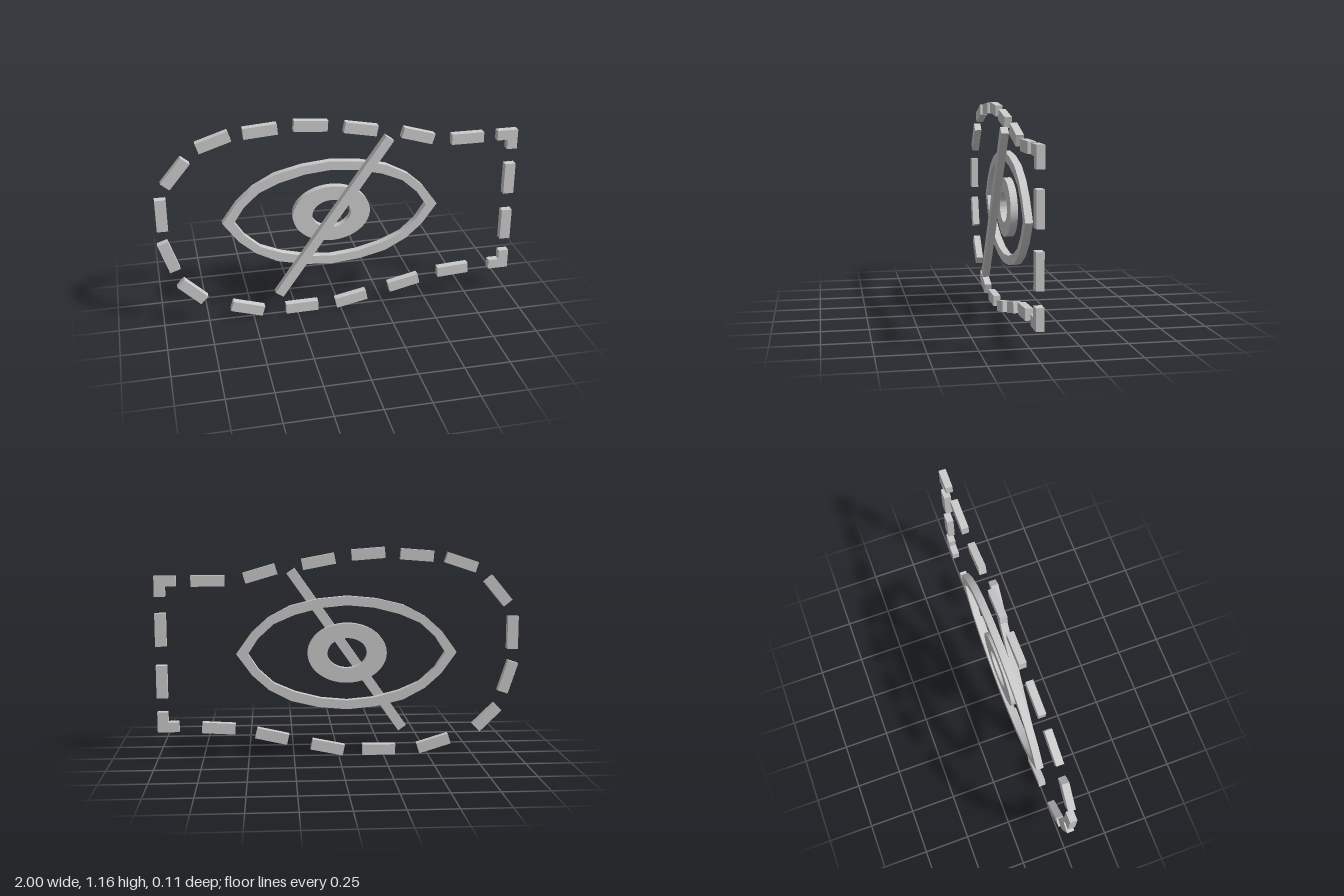
import * as THREE from 'three';
import { toCreasedNormals } from 'three/addons/utils/BufferGeometryUtils.js';

const DEPTH = 0.04;
const CENTRE = [-0.043, 0.586];

export function createModel() {
  const root = new THREE.Group();
  const material = new THREE.MeshStandardMaterial({ color: 0xcccccc });

  const add = (name, geometry, x, y, z) => {
    const mesh = new THREE.Mesh(geometry, material);
    mesh.name = name;
    mesh.position.set(x, y, z);
    root.add(mesh);
    return mesh;
  };
  // Smooth around gentle curves, sharp at rims and corners
  const extrude = (shape) => toCreasedNormals(
    new THREE.ExtrudeGeometry(shape, { depth: DEPTH, bevelEnabled: false, curveSegments: 32 }), 0.7);

  // A straight bar between two points
  const bar = (name, [x0, y0, x1, y1], width, z) => {
    const length = Math.hypot(x1 - x0, y1 - y0);
    const mesh = add(name, new THREE.BoxGeometry(length, width, DEPTH), (x0 + x1) / 2, (y0 + y1) / 2, z);
    mesh.rotation.z = Math.atan2(y1 - y0, x1 - x0);
  };

  // Dashed outline, clockwise from the left end
  const dashes = [
    [-0.968, 0.594, -0.968, 0.777], [-0.937, 0.85, -0.824, 0.986],
    [-0.76, 1.048, -0.589, 1.104], [-0.519, 1.109, -0.338, 1.123],
    [-0.252, 1.131, -0.07, 1.117], [0.021, 1.101, 0.2, 1.067],
    [0.342, 1.045, 0.515, 0.994], [0.62, 0.981, 0.802, 0.981],
    [0.97, 0.807, 0.97, 0.626], [0.97, 0.521, 0.97, 0.339],
    [0.756, 0.171, 0.574, 0.16], [0.459, 0.136, 0.283, 0.096],
    [0.152, 0.067, -0.027, 0.03], [-0.132, 0.032, -0.316, 0.03],
    [-0.445, 0.034, -0.621, 0.088], [-0.771, 0.147, -0.894, 0.267],
    [-0.918, 0.35, -0.974, 0.521],
  ];
  dashes.forEach((d) => bar('outlineDash', d, 0.06, 0.005));

  // L-shaped corner dashes, arms running left and towards the middle
  const corner = (name, y, dir) => {
    const points = [[0, 0], [-0.117, 0], [-0.117, 0.056], [-0.058, 0.056], [-0.058, 0.112], [0, 0.112]];
    const shape = new THREE.Shape(points.map(([px, py]) => new THREE.Vector2(px, py * dir)));
    add(name, extrude(shape), 0.999, y, -0.015);
  };
  corner('topCorner', 1.01, -1);
  corner('bottomCorner', 0.149, 1);

  // Eye outline: a quarter profile mirrored into a counter-clockwise loop
  const loop = (quarter) => {
    const top = [...quarter.slice(1).reverse(), ...quarter.map(([x, y]) => [-x, y])];
    const bottom = top.slice(1, -1).reverse().map(([x, y]) => [x, -y]);
    return [...top, ...bottom].map(([x, y]) => new THREE.Vector2(x, y));
  };
  const eye = new THREE.Shape(loop([
    [0, 0.313], [0.16, 0.298], [0.31, 0.262], [0.43, 0.198], [0.52, 0.117], [0.604, 0]]));
  eye.holes.push(new THREE.Path(loop([
    [0, 0.263], [0.145, 0.249], [0.285, 0.213], [0.4, 0.163], [0.485, 0.085], [0.54, 0]])));
  add('eyeOutline', extrude(eye), ...CENTRE, -0.055);

  // Oval iris ring
  const iris = new THREE.Shape();
  iris.absellipse(0, 0, 0.217, 0.164, 0, Math.PI * 2);
  const pupil = new THREE.Path();
  pupil.absellipse(0, 0, 0.108, 0.083, 0, Math.PI * 2);
  iris.holes.push(pupil);
  add('irisRing', extrude(iris), ...CENTRE, -0.055);

  // Diagonal slash in front
  bar('slash', [-0.357, 0.147, 0.262, 1.031], 0.053, 0.035);

  return root;
}
